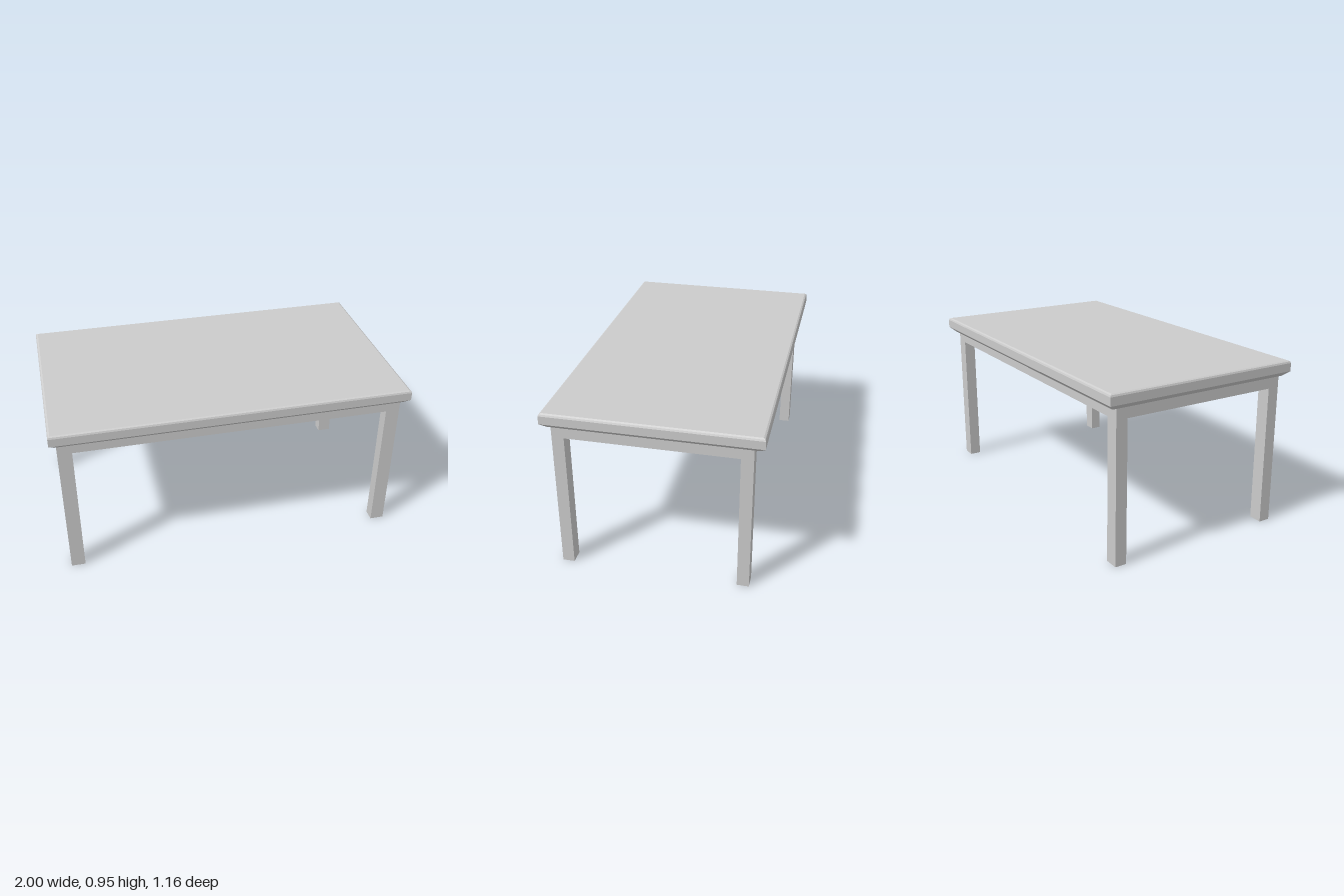
import * as THREE from 'three';

const material = new THREE.MeshStandardMaterial({ color: 0xcccccc, flatShading: true });

// Rectangular slab lofted through [inset, y] sections, bottom to top, capped at both ends
function slabGeometry(halfX, halfZ, sections) {
  const corners = [[1, 1], [1, -1], [-1, -1], [-1, 1]];
  const positions = [];
  const index = [];
  for (const [inset, y] of sections) {
    for (const [sx, sz] of corners) positions.push(sx * (halfX - inset), y, sz * (halfZ - inset));
  }
  const last = (sections.length - 1) * 4;
  for (let r = 0; r < last; r += 4) {
    for (let i = 0; i < 4; i++) {
      const j = (i + 1) % 4;
      index.push(r + i, r + j, r + 4 + j, r + i, r + 4 + j, r + 4 + i);
    }
  }
  index.push(0, 2, 1, 0, 3, 2, last, last + 1, last + 2, last, last + 2, last + 3);
  const geometry = new THREE.BufferGeometry();
  geometry.setAttribute('position', new THREE.Float32BufferAttribute(positions, 3));
  geometry.setIndex(index);
  const flat = geometry.toNonIndexed();
  flat.computeVertexNormals();
  return flat;
}

export function createModel() {
  const group = new THREE.Group();
  group.name = 'table';

  const add = (name, geometry, x = 0, y = 0, z = 0) => {
    const mesh = new THREE.Mesh(geometry, material);
    mesh.name = name;
    mesh.position.set(x, y, z);
    group.add(mesh);
  };

  // Table top: chamfered underside, slightly rounded upper edge
  add('tableTop', slabGeometry(1, 0.578, [
    [0.031, 0.859], [0, 0.887], [0, 0.933], [0.004, 0.942], [0.013, 0.947],
  ]));

  // Base frame dimensions; the base sits a touch forward of the top's centre
  const outerX = 0.962, outerZ = 0.525, legX = 0.079, legZ = 0.066;
  const frameZ = 0.005, railBottom = 0.797, topY = 0.859;
  const railH = topY - railBottom, railY = (topY + railBottom) / 2;
  const cx = outerX - legX / 2, cz = outerZ - legZ / 2;

  // Legs
  for (const sx of [1, -1]) {
    for (const sz of [1, -1]) {
      const name = (sz > 0 ? 'front' : 'back') + (sx > 0 ? 'Left' : 'Right') + 'Leg';
      add(name, new THREE.BoxGeometry(legX, topY, legZ), sx * cx, topY / 2, frameZ + sz * cz);
    }
  }

  // Apron rails between the legs, flush with them
  for (const s of [1, -1]) {
    add(s > 0 ? 'frontRail' : 'backRail',
      new THREE.BoxGeometry(2 * (outerX - legX), railH, legZ), 0, railY, frameZ + s * cz);
    add(s > 0 ? 'leftRail' : 'rightRail',
      new THREE.BoxGeometry(legX, railH, 2 * (outerZ - legZ)), s * cx, railY, frameZ);
  }

  return group;
}
